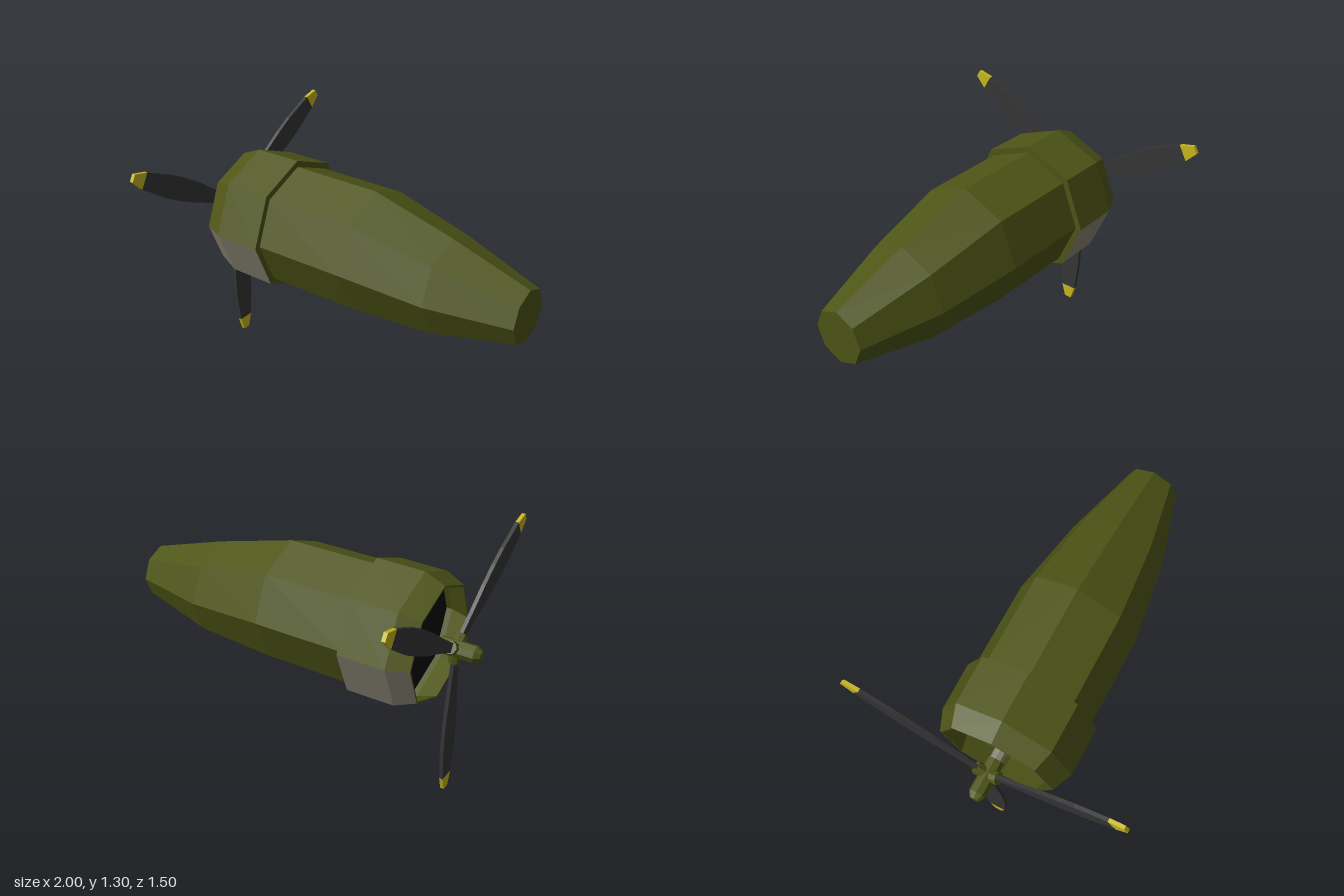
import * as THREE from 'three';

const mat = (color) => new THREE.MeshStandardMaterial({ color, flatShading: true, side: THREE.DoubleSide });
const OLIVE = mat(0x4e5516), GREY = mat(0x8a8774), DARK = mat(0x363636), YELLOW = mat(0xc8b81e), BLACK = mat(0x080808);
const AXIS_Y = 0.855, PROP_X = -0.86;

// Octagonal skin through sections [x, centreY, radius]; 'facets' picks sides, 0 and 7 at the top
function skin(name, sections, facets, material) {
  const pos = [];
  const point = ([x, cy, r], i) => {
    const a = (i * Math.PI) / 4;
    return [x, cy + r * Math.cos(a), r * Math.sin(a)];
  };
  for (let s = 0; s < sections.length - 1; s++) {
    for (const i of facets) {
      const a = point(sections[s], i), b = point(sections[s + 1], i);
      const c = point(sections[s + 1], i + 1), d = point(sections[s], i + 1);
      if (sections[s + 1][2] > 0) pos.push(...a, ...c, ...b);
      if (sections[s][2] > 0) pos.push(...a, ...d, ...c);
    }
  }
  const g = new THREE.BufferGeometry();
  g.setAttribute('position', new THREE.Float32BufferAttribute(pos, 3));
  g.computeVertexNormals();
  const mesh = new THREE.Mesh(g, material);
  mesh.name = name;
  return mesh;
}

// Flat blade piece from [distance along blade, half width], symmetric about its length
function bladePiece(name, profile, material) {
  const right = profile.map(([r, w]) => new THREE.Vector2(w, -r));
  const left = profile.map(([r, w]) => new THREE.Vector2(-w, -r)).reverse();
  const g = new THREE.ExtrudeGeometry(new THREE.Shape([...right, ...left]), { depth: 0.02, bevelEnabled: false });
  g.translate(0, 0, -0.01);
  g.rotateY(Math.PI / 2);
  const mesh = new THREE.Mesh(g, material);
  mesh.name = name;
  return mesh;
}

export function createModel() {
  const model = new THREE.Group();
  model.name = 'engineNacelle';
  const all = [0, 1, 2, 3, 4, 5, 6, 7];
  const c = AXIS_Y;

  // Tapering body, pale along the two bottom sides
  const body = [[-0.42, c, 0.335], [0.1, c, 0.335], [0.56, 0.8, 0.266], [1, 0.777, 0.148]];
  model.add(skin('bodyUpper', body, [0, 1, 2, 5, 6, 7], OLIVE));
  model.add(skin('bodyBelly', body, [3, 4], GREY));
  model.add(skin('tailCap', [[1, 0.777, 0.148], [1, 0.777, 0]], all, OLIVE));

  // Cowl ring, pale on its lower half
  const cowl = [[-0.78, c, 0.32], [-0.67, c, 0.367], [-0.405, c, 0.37]];
  model.add(skin('cowlUpper', cowl, [0, 1, 6, 7], OLIVE));
  model.add(skin('cowlLower', cowl, [2, 3, 4, 5], GREY));
  model.add(skin('cowlRearRim', [[-0.405, c, 0.37], [-0.405, c, 0.33]], all, OLIVE));
  model.add(skin('cowlInside', [[-0.64, c, 0.35], [-0.67, c, 0.35], [-0.78, c, 0.31], [-0.78, c, 0.32]], all, OLIVE));
  model.add(skin('firewall', [[-0.64, c, 0], [-0.64, c, 0.35]], all, BLACK));

  // Propeller: shaft, hub and three blades in root sockets
  const propeller = new THREE.Group();
  propeller.name = 'propeller';
  propeller.position.set(PROP_X, AXIS_Y, 0);
  const shaft = new THREE.Mesh(new THREE.CylinderGeometry(0.035, 0.035, 0.2, 8), GREY);
  shaft.name = 'shaft';
  shaft.rotation.z = Math.PI / 2;
  shaft.position.x = 0.13;
  propeller.add(shaft);
  propeller.add(skin('hub', [[-0.14, 0, 0], [-0.14, 0, 0.025], [-0.11, 0, 0.045], [0.08, 0, 0.045], [0.08, 0, 0]], all, OLIVE));

  for (let i = 0; i < 3; i++) {
    const arm = new THREE.Group();
    arm.name = 'bladeAssembly' + (i + 1);
    const socket = new THREE.Mesh(new THREE.CylinderGeometry(0.034, 0.034, 0.075, 8), OLIVE);
    socket.name = 'bladeSocket';
    socket.position.y = -0.0375;
    arm.add(socket);
    arm.add(bladePiece('blade', [[0.05, 0.022], [0.2, 0.035], [0.355, 0.055], [0.48, 0.063], [0.59, 0.063], [0.775, 0.045]], DARK));
    arm.add(bladePiece('bladeTip', [[0.775, 0.045], [0.855, 0.021]], YELLOW));
    arm.rotation.x = (i * Math.PI * 2) / 3;
    propeller.add(arm);
  }
  model.add(propeller);
  return model;
}
